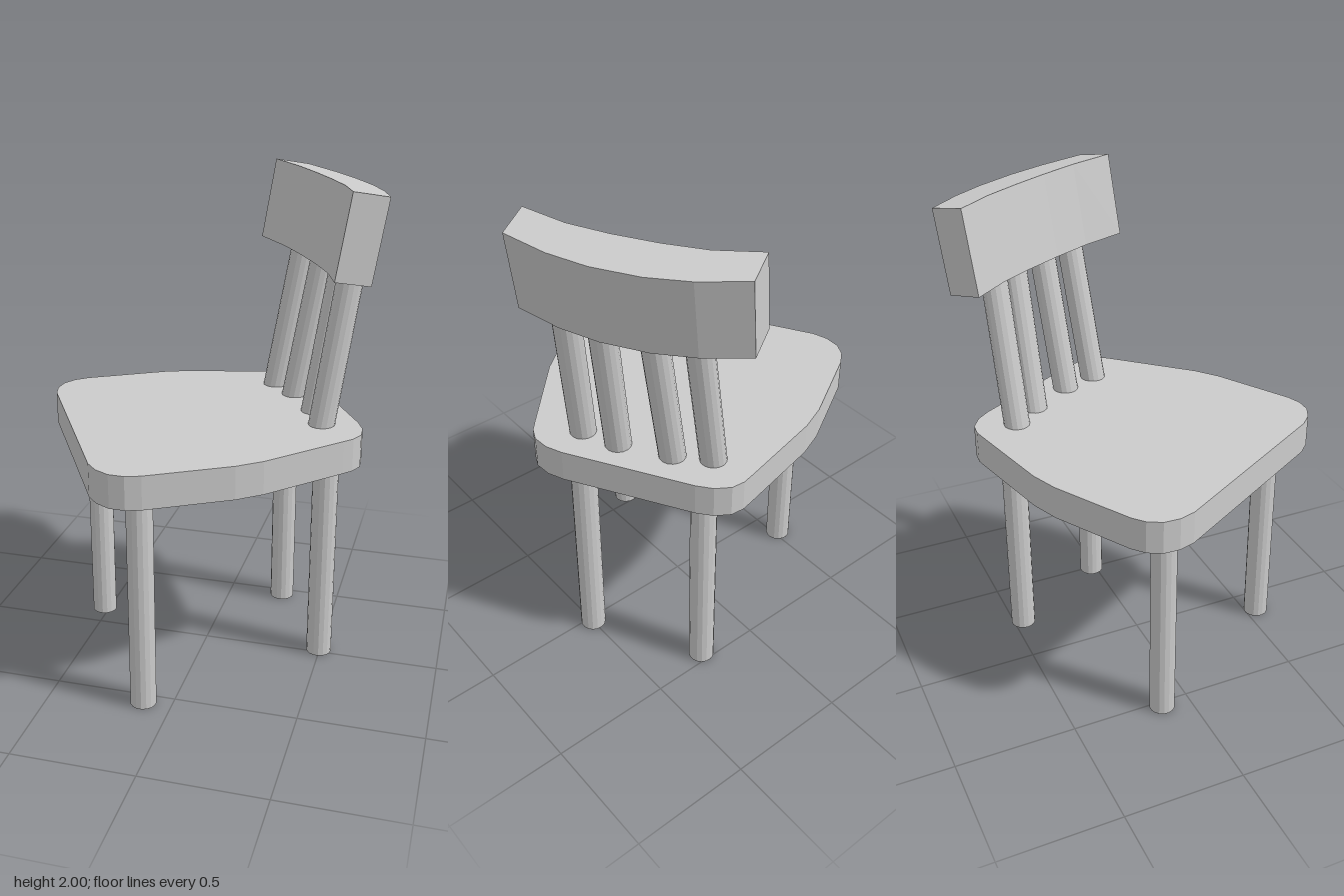
import * as THREE from 'three';

const material = new THREE.MeshStandardMaterial({ color: 0xcccccc, flatShading: true });

function addMesh(parent, geometry, name) {
  const mesh = new THREE.Mesh(geometry, material);
  mesh.name = name;
  parent.add(mesh);
  return mesh;
}

// Plan outline of [x, z] points extruded upwards from y = 0
function slab(points, height) {
  const shape = new THREE.Shape(points.map(([x, z]) => new THREE.Vector2(x, -z)));
  const geometry = new THREE.ExtrudeGeometry(shape, { depth: height, bevelEnabled: false });
  return geometry.rotateX(-Math.PI / 2);
}

// Right half of a closed outline plus its mirror image
function mirrored(half) {
  return [...half, ...half.map(([x, z]) => [-x, z]).reverse()];
}

// Round rod between two points
function rod(parent, from, to, radius, name) {
  const direction = to.clone().sub(from);
  const mesh = addMesh(parent, new THREE.CylinderGeometry(radius, radius, direction.length(), 16), name);
  mesh.position.copy(from).add(to).multiplyScalar(0.5);
  mesh.quaternion.setFromUnitVectors(new THREE.Vector3(0, 1, 0), direction.normalize());
}

export function createModel() {
  const model = new THREE.Group();
  model.name = 'chair';

  // The chair is built facing +z, then turned
  const chair = new THREE.Group();
  chair.name = 'turnedChair';
  chair.rotation.y = -Math.PI / 3;
  model.add(chair);

  // Seat: rounded corners, tapering to the back
  const seat = addMesh(chair, slab(mirrored([
    [0.408, 0.56], [0.473, 0.544], [0.529, 0.508], [0.562, 0.455], [0.574, 0.394],
    [0.574, 0.043], [0.557, -0.072],
    [0.447, -0.43], [0.432, -0.475], [0.4, -0.52], [0.34, -0.55], [0.27, -0.56],
  ]), 0.135), 'seat');
  seat.position.set(-0.012, 0.915, 0);

  // Four straight legs
  const legs = [
    ['frontRightLeg', -0.364, 0.391], ['frontLeftLeg', 0.418, 0.376],
    ['backRightLeg', -0.275, -0.44], ['backLeftLeg', 0.23, -0.439],
  ];
  for (const [name, x, z] of legs) {
    rod(chair, new THREE.Vector3(x, 0, z), new THREE.Vector3(x, 0.93, z), 0.053, name);
  }

  // Spindles leaning back into the backrest: x at the seat, x at the top, z at the seat
  const spindles = [
    [-0.294, -0.265, -0.391], [-0.142, -0.113, -0.425],
    [0.077, 0.075, -0.434], [0.236, 0.224, -0.409],
  ];
  spindles.forEach(([x0, x1, z], i) => {
    rod(chair, new THREE.Vector3(x0, 1.04, z), new THREE.Vector3(x1, 1.68, z - 0.108), 0.053, `spindle${i + 1}`);
  });

  // Curved backrest, tilted back
  const backrest = addMesh(chair, slab(mirrored([
    [0.088, -0.054], [0.258, -0.042], [0.44, 0],
    [0.44, -0.15], [0.258, -0.205], [0.094, -0.23],
  ]), 0.335), 'backrest');
  backrest.position.set(-0.038, 1.67, -0.376);
  backrest.rotation.x = -Math.PI / 18;

  return model;
}
